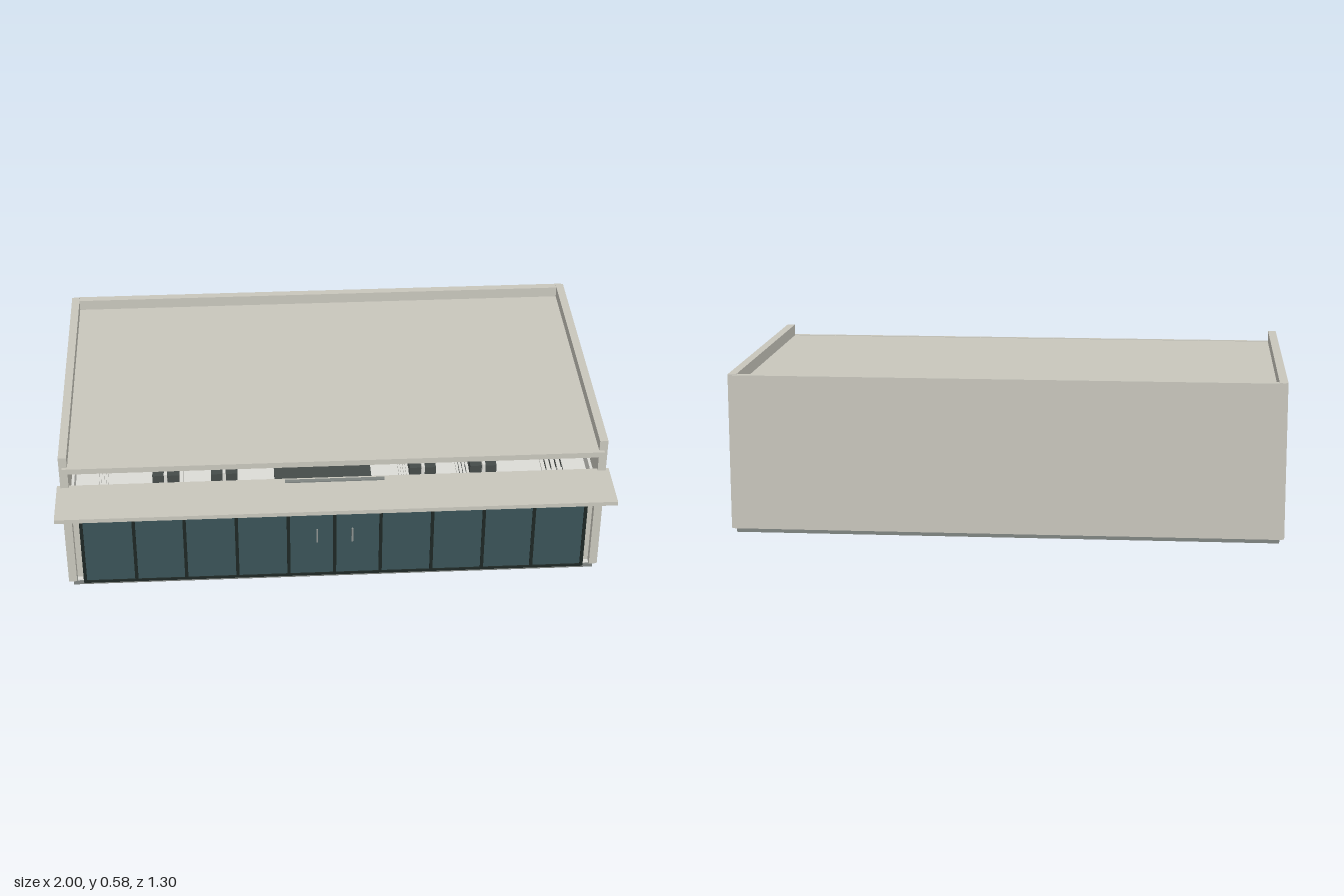
import * as THREE from 'three';

export function createModel() {
  const root = new THREE.Group();
  root.name = 'shopBuilding';

  const material = (name, color) => {
    const m = new THREE.MeshStandardMaterial({ color });
    m.name = name;
    return m;
  };
  const wall = material('warmGreyWall', 0xc8c6bc);
  const base = material('concreteGrey', 0x7f8481);
  const glass = material('tealGlass', 0x3a5257);
  const frame = material('darkFrame', 0x1d2724);
  const metal = material('handleMetal', 0x8c918e);
  const white = material('shelfWhite', 0xdcdcd6);
  const dark = material('stockDark', 0x454b49);

  // Box given by its extents along x, y and z
  const box = (name, mat, x0, x1, y0, y1, z0, z1, parent = root) => {
    const mesh = new THREE.Mesh(new THREE.BoxGeometry(x1 - x0, y1 - y0, z1 - z0), mat);
    mesh.position.set((x0 + x1) / 2, (y0 + y1) / 2, (z0 + z1) / 2);
    mesh.name = name;
    parent.add(mesh);
    return mesh;
  };
  const group = (name) => {
    const g = new THREE.Group();
    g.name = name;
    root.add(g);
    return g;
  };

  // Shell: plinth, floor, three walls, recessed roof with a front trim
  box('plinth', base, -0.97, 0.97, 0, 0.015, -0.64, 0.46);
  box('floor', white, -0.955, 0.955, 0.015, 0.019, -0.615, 0.455);
  box('backWall', wall, -0.98, 0.98, 0.015, 0.575, -0.648, -0.618);
  for (const s of [-1, 1]) {
    const side = box('sideWall', wall, -0.015, 0.015, 0.015, 0.577, -0.642, 0.46);
    side.position.x = s * 0.972;
  }
  box('roof', wall, -0.96, 0.96, 0.515, 0.534, -0.62, 0.456);
  box('roofTrim', wall, -0.975, 0.975, 0.514, 0.536, 0.456, 0.472);

  // Canopy over the shop front
  box('canopy', wall, -1, 1, 0.43, 0.446, 0.446, 0.65);

  // Glazed front with mullions, rails and a double door
  const front = group('shopFront');
  const posts = [-0.925, -0.735, -0.55, -0.36, -0.17, 0, 0.17, 0.36, 0.55, 0.735, 0.925];
  box('glazing', glass, -0.925, 0.925, 0.02, 0.43, 0.462, 0.467, front);
  for (const x of posts) {
    box('mullion', frame, x - 0.006, x + 0.006, 0.018, 0.43, 0.458, 0.472, front);
  }
  box('bottomRail', frame, -0.93, 0.93, 0.015, 0.024, 0.458, 0.472, front);
  box('topRail', frame, -0.93, 0.93, 0.42, 0.43, 0.458, 0.47, front);
  box('doorHeader', base, -0.18, 0.18, 0.43, 0.45, 0.458, 0.474, front);
  for (const x of [-0.065, 0.065]) {
    box('doorHandle', metal, x - 0.003, x + 0.003, 0.178, 0.235, 0.477, 0.484, front);
    for (const y of [0.186, 0.224]) {
      box('handleMount', metal, x - 0.002, x + 0.002, y, y + 0.004, 0.466, 0.478, front);
    }
  }

  // Three ceiling lights
  for (const x of [-0.6, 0, 0.6]) {
    box('ceilingLight', white, x - 0.125, x + 0.125, 0.508, 0.5155, -0.1, -0.04);
  }

  // Cabinets along the back wall
  const cabinets = group('backCabinets');
  box('cabinetBody', base, -0.955, 0.955, 0.019, 0.462, -0.617, -0.48, cabinets);
  for (let i = 0; i < 10; i++) {
    const x = -0.94 + i * 0.188;
    box('cabinetDoor', glass, x + 0.01, x + 0.178, 0.05, 0.4, -0.481, -0.474, cabinets);
  }

  // Shelving along both side walls
  for (const s of [-1, 1]) {
    const shelving = group(s < 0 ? 'rightWallShelves' : 'leftWallShelves');
    const put = (name, mat, a, b, y0, y1, z0, z1) =>
      box(name, mat, Math.min(s * a, s * b), Math.max(s * a, s * b), y0, y1, z0, z1, shelving);
    put('endPanel', wall, 0.86, 0.955, 0.02, 0.4, 0.43, 0.44);
    put('backPanel', white, 0.945, 0.955, 0.02, 0.4, -0.42, 0.43);
    for (let i = 0; i < 5; i++) {
      const y = 0.03 + i * 0.078;
      put('shelf', white, 0.86, 0.945, y, y + 0.007, -0.42, 0.43);
      if (i < 4) {
        for (let j = 0; j < 8; j++) {
          const z = -0.4 + j * 0.102;
          put('stock', dark, 0.875, 0.94, y + 0.007, y + 0.055, z, z + 0.08);
        }
      }
    }
  }

  // Free-standing aisles of stocked shelves
  const aisles = group('aisles');
  for (const x of [-0.62, -0.4, 0.35, 0.58]) {
    box('aisleSpine', white, x - 0.006, x + 0.006, 0.02, 0.3, -0.35, 0.2, aisles);
    for (let i = 0; i < 4; i++) {
      const y = 0.025 + i * 0.07;
      box('aisleShelf', white, x - 0.06, x + 0.06, y, y + 0.007, -0.35, 0.2, aisles);
      for (let j = 0; j < 9; j++) {
        const z = -0.34 + j * 0.06;
        box('aisleStock', dark, x - 0.05, x + 0.05, y + 0.007, y + 0.05, z, z + 0.045, aisles);
      }
    }
  }

  // Sales counter
  const counter = group('counter');
  box('counterBody', white, -0.2, 0.15, 0.02, 0.2, 0.0, 0.12, counter);
  box('counterTop', dark, -0.21, 0.16, 0.2, 0.212, -0.01, 0.13, counter);

  return root;
}
